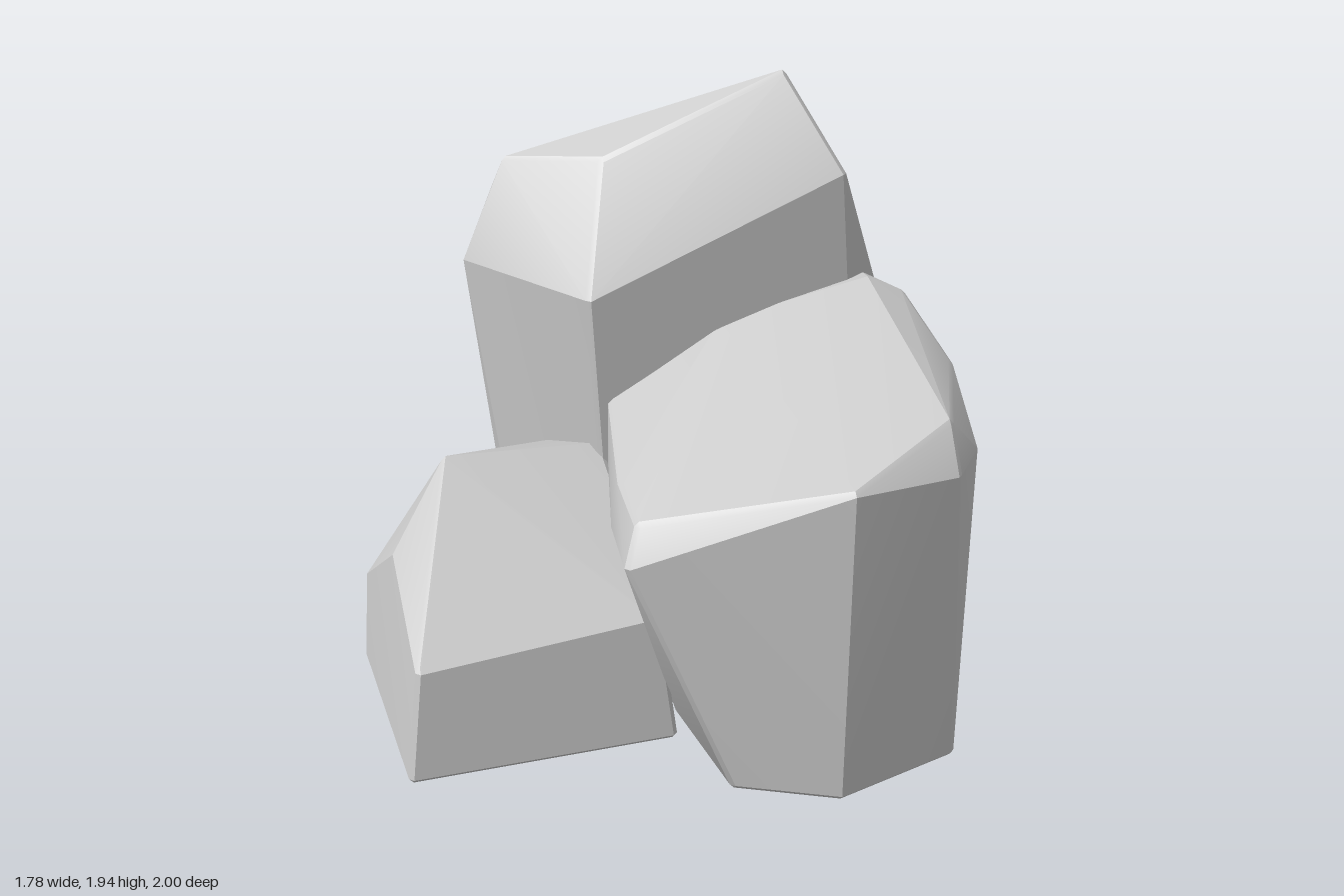
import * as THREE from 'three';
import { ConvexGeometry } from 'three/addons/geometries/ConvexGeometry.js';
import { toCreasedNormals } from 'three/addons/utils/BufferGeometryUtils.js';

const material = new THREE.MeshStandardMaterial({ color: 0xcccccc });
const BEVEL = 0.014;

// Convex boulder from its corner points; each corner is spread into a tiny
// octahedron so that every edge of the hull gets a narrow chamfer.
function boulder(name, corners) {
  const points = corners.map((c) => new THREE.Vector3(...c));
  const box = new THREE.Box3().setFromPoints(points);
  const centre = box.getCenter(new THREE.Vector3());
  const half = box.getSize(new THREE.Vector3()).multiplyScalar(0.5);
  const spread = [];
  for (const p of points) {
    // pull in by the chamfer so the outer size stays the same
    for (const axis of ['x', 'y', 'z']) {
      p[axis] = centre[axis] + (p[axis] - centre[axis]) * (1 - BEVEL / half[axis]);
    }
    for (const s of [-BEVEL, BEVEL]) {
      spread.push(
        p.clone().add(new THREE.Vector3(s, 0, 0)),
        p.clone().add(new THREE.Vector3(0, s, 0)),
        p.clone().add(new THREE.Vector3(0, 0, s))
      );
    }
  }
  const mesh = new THREE.Mesh(toCreasedNormals(new ConvexGeometry(spread), 0.4), material);
  mesh.name = name;
  return mesh;
}

export function createModel() {
  const group = new THREE.Group();
  group.name = 'rockCluster';

  // Tall rock at the back, its top sloping down to the rear
  group.add(boulder('tallRock', [
    // base
    [0.75, 0, -0.98], [0.79, 0, -0.5], [0.77, 0, 0.02],
    [-0.1, 0, 0.03], [-0.3, 0, -0.33], [-0.27, 0, -0.78],
    // shoulders
    [0.74, 1.06, -1.0], [0.89, 1.28, -0.5], [0.78, 1.22, -0.01], [0.62, 1.66, 0.07],
    [-0.2, 1.33, 0.1], [-0.495, 1.34, -0.36], [-0.31, 1.12, -0.81],
    // crown
    [0.48, 1.94, -0.12], [0.61, 1.68, -0.68], [0.34, 1.35, -0.98],
    [-0.39, 1.57, -0.39], [-0.36, 1.66, -0.36], [-0.1, 1.7, -0.13],
  ]));

  // Medium rock in front, undercut on its right side
  group.add(boulder('frontRock', [
    // base
    [0.33, 0.04, 0.99], [0.04, 0.04, 0.85], [0.74, 0.04, 0.85], [0.81, 0.04, 0.45],
    [0.79, 0.04, -0.02], [0.0, 0.04, 0.4], [0.05, 0.04, -0.02],
    // rim
    [-0.27, 0.78, 0.79], [0.33, 1.03, 1.0], [0.68, 1.01, 0.91], [0.78, 1.03, 0.79],
    [0.82, 1.18, 0.49], [-0.24, 0.78, 0.52], [-0.12, 0.8, 0.0],
    // top
    [-0.23, 0.89, 0.75], [-0.22, 0.92, 0.52], [-0.13, 0.99, 0.05], [0.68, 1.14, 0.83],
    [0.23, 1.2, 0.03], [0.7, 1.33, 0.1], [0.8, 1.29, 0.14], [0.72, 1.31, 0.0],
  ]));

  // Low rock at the side with a long sloping front
  group.add(boulder('lowRock', [
    // base
    [-0.89, 0.02, -0.25], [-0.87, 0.02, 0.55], [-0.03, 0.02, 0.51],
    [-0.03, 0.02, -0.3], [-0.46, 0.02, -0.38],
    // rim
    [-0.87, 0.32, -0.26], [-0.83, 0.37, 0.52], [-0.08, 0.43, 0.48],
    [-0.83, 0.58, 0.13], [-0.46, 0.4, -0.36], [-0.1, 0.4, -0.36],
    // top
    [-0.65, 0.85, 0.05], [-0.15, 0.83, 0.03], [-0.58, 0.71, -0.19], [-0.15, 0.76, -0.2],
  ]));

  return group;
}
